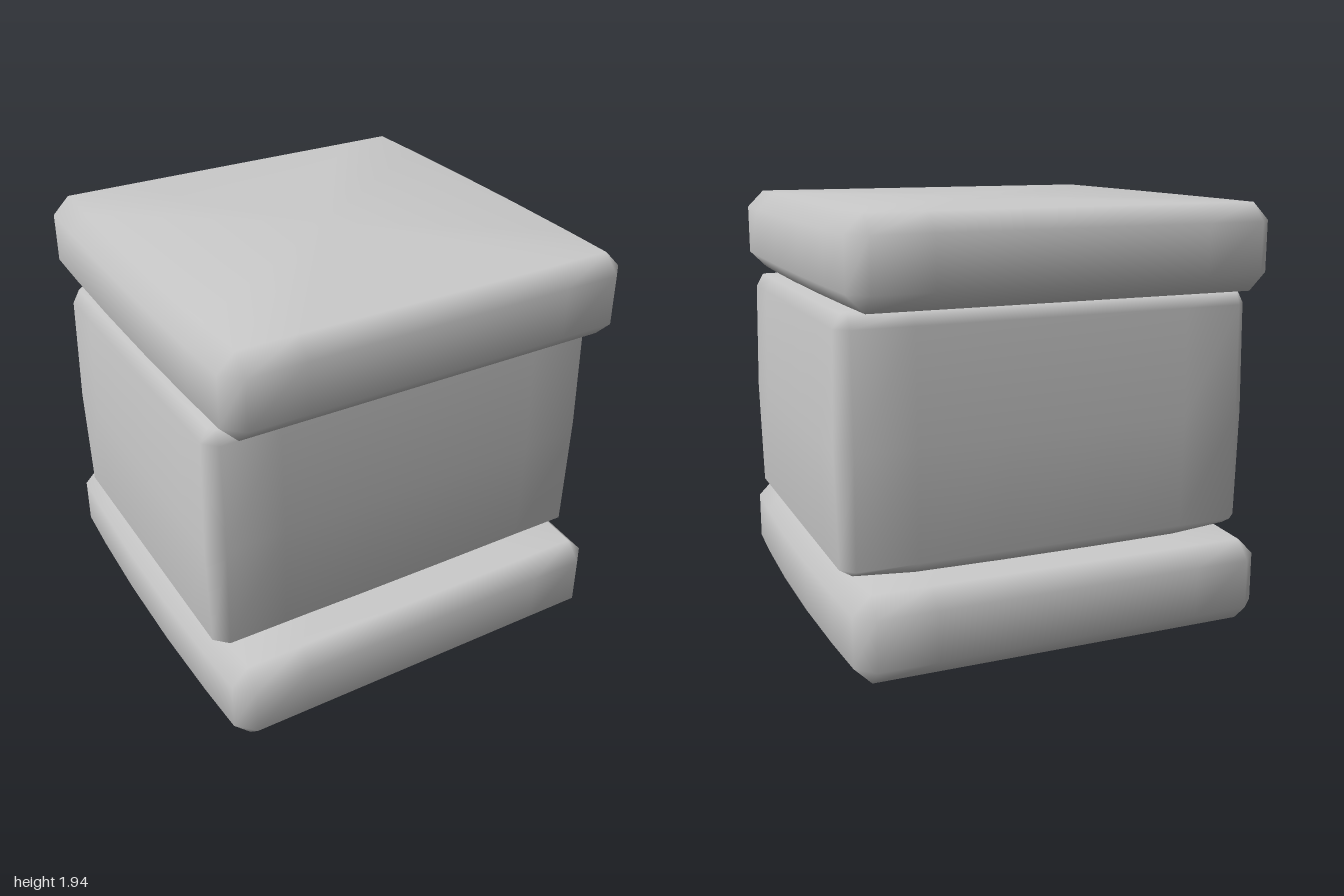
import * as THREE from 'three';
import { mergeVertices } from 'three/addons/utils/BufferGeometryUtils.js';

const STEPS = [1, 0.7, 0.25, -0.25, -0.7, 1 * -1];

// One closed plan outline with cut corners; the x sides bow outwards.
function outline(hx, hz, cut, bow) {
  const pts = [];
  const cx = hx - cut, cz = hz - cut;
  const swell = (t) => hx + bow * (1 - t * t);
  for (const t of STEPS) pts.push([swell(t), t * cz]);
  for (const t of STEPS) pts.push([t * cx, -hz]);
  for (const t of STEPS) pts.push([-swell(t), -t * cz]);
  for (const t of STEPS) pts.push([-t * cx, hz]);
  return pts;
}

// Chamfered block from stacked outlines; rings = [y, inset], bottom to top.
function block(name, { hx, hz, cut, bow = 0, rings, lift = 0 }) {
  const pos = [], idx = [];
  const n = STEPS.length * 4;
  rings.forEach(([y, inset], r) => {
    for (const [x, z] of outline(hx - inset, hz - inset, Math.max(0, cut - inset), bow)) {
      // the underside rises slightly towards both ends
      const rise = r === 0 ? lift * THREE.MathUtils.clamp((Math.abs(x) - 0.6) / 0.3, 0, 1) : 0;
      pos.push(x, y + rise, z);
    }
  });
  const low = pos.length / 3, high = low + 1;
  const last = (rings.length - 1) * n;
  pos.push(0, rings[0][0], 0, 0, rings[rings.length - 1][0], 0);

  for (let i = 0; i < n; i++) {
    const j = (i + 1) % n;
    for (let r = 0; r < rings.length - 1; r++) {
      const a = r * n, b = a + n;
      idx.push(a + i, a + j, b + j, a + i, b + j, b + i);
    }
    idx.push(low, j, i, high, last + i, last + j);
  }

  let geo = new THREE.BufferGeometry();
  geo.setAttribute('position', new THREE.Float32BufferAttribute(pos, 3));
  geo.setIndex(idx);
  geo = mergeVertices(geo, 1e-4);
  geo.computeVertexNormals();
  const mesh = new THREE.Mesh(geo, new THREE.MeshStandardMaterial({ color: 0xcccccc }));
  mesh.name = name;
  return mesh;
}

// Flat slab with an even chamfer all round.
function slab(name, y0, y1, hx, bow) {
  const b = 0.08;
  return block(name, {
    hx, hz: 0.972, cut: b, bow,
    rings: [[y0, b], [y0 + b, 0], [y1 - b, 0], [y1, b]],
  });
}

export function createModel() {
  const model = new THREE.Group();
  model.name = 'stonePedestal';

  model.add(slab('baseSlab', 0, 0.39, 0.97, 0.03));

  // Middle block, narrower front to back and slightly swollen at mid height
  model.add(block('middleBlock', {
    hx: 0.985, hz: 0.79, cut: 0.07, lift: 0.025,
    rings: [[0.39, 0.07], [0.45, 0.012], [0.96, 0], [1.47, 0.012], [1.53, 0.045]],
  }));

  model.add(slab('topSlab', 1.55, 1.94, 0.965, 0.017));
  return model;
}
